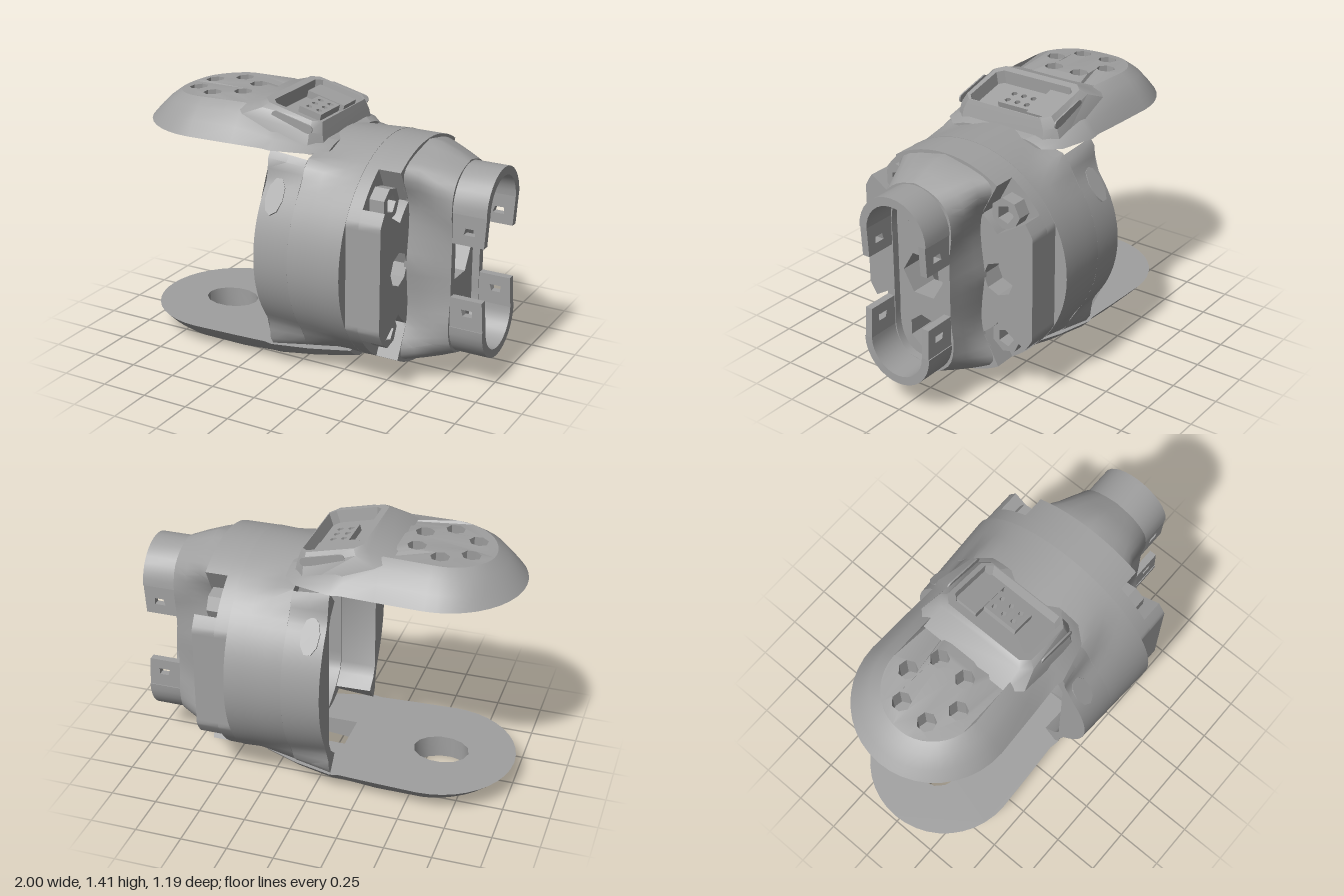
import * as THREE from 'three';
import { toCreasedNormals } from 'three/addons/utils/BufferGeometryUtils.js';

const CY = 0.675; // height of the barrel axis
const grey = new THREE.MeshStandardMaterial({ color: 0xa0a0a0, side: THREE.DoubleSide });
grey.name = 'grey';

const V = (x, y) => new THREE.Vector2(x, y);
const circle = (x, y, r, n = 8) => Array.from({ length: n }, (_, i) =>
  V(x + r * Math.cos((i / n) * 2 * Math.PI), y + r * Math.sin((i / n) * 2 * Math.PI)));
const rect = (x0, y0, x1, y1) => [V(x0, y0), V(x1, y0), V(x1, y1), V(x0, y1)];
function shapeOf(points, holes = []) {
  const s = new THREE.Shape(points);
  s.holes = holes.map((h) => new THREE.Path(h));
  return s;
}
function stadium(a, b, n = 10) { // upright slot: half width a, half height b
  const p = [];
  for (const k of [1, -1]) for (let i = 0; i <= n; i++) {
    const t = (i / n) * Math.PI;
    p.push(V(k * a * Math.cos(t), k * (b - a + a * Math.sin(t))));
  }
  return p;
}
function lerpTable(table, x) {
  for (let i = 1; i < table.length; i++) {
    const [x0, y0] = table[i - 1], [x1, y1] = table[i];
    if (x <= x1) return y0 + ((y1 - y0) * Math.max(0, x - x0)) / (x1 - x0);
  }
  return table[table.length - 1][1];
}
// Skin through closed rings of [x, y, z] points
function loft(rings) {
  const n = rings[0].length, idx = [];
  for (let r = 0; r < rings.length - 1; r++) for (let i = 0; i < n; i++) {
    const a = r * n + i, b = r * n + ((i + 1) % n);
    idx.push(a, b, a + n, b, b + n, a + n);
  }
  const g = new THREE.BufferGeometry();
  g.setAttribute('position', new THREE.Float32BufferAttribute(rings.flat(2), 3));
  g.setIndex(idx);
  return g;
}
function add(parent, name, geo, crease = 0.55) {
  const g = geo.index ? geo.toNonIndexed() : geo;
  g.deleteAttribute('uv');
  g.computeVertexNormals();
  const m = new THREE.Mesh(toCreasedNormals(g, crease), grey);
  m.name = name;
  parent.add(m);
  return m;
}
// Extrude a (z, y) shape along x, centred on the barrel axis
function alongX(shape, x0, x1, steps = 1) {
  const g = new THREE.ExtrudeGeometry(shape, { depth: x1 - x0, steps, bevelEnabled: false });
  return g.rotateY(Math.PI / 2).translate(x0, CY, 0);
}

// Domed tongue: flat on one side, sloping rim, plateau with holes on the other
function tongue(parent, name, flatY, dir, xEnd, heights, holes, through) {
  const h = (x) => lerpTable(heights, x);
  const outline = (s) => {
    const p = [];
    for (let i = 0; i <= 20; i++) {
      const t = Math.PI * (0.5 + i / 20);
      p.push(V(-0.58 + 0.42 * s * Math.cos(t), 0.42 * s * Math.sin(t)));
    }
    const side = [[-0.33, 0.41], [-0.15, 0.4], [-0.1, 0.41], [0.1, 0.36], [xEnd, 0.28]];
    side.forEach(([x, z]) => p.push(V(x, -z * s)));
    side.reverse().forEach(([x, z]) => p.push(V(x, z * s)));
    return p;
  };
  const group = new THREE.Group();
  group.name = name;
  parent.add(group);
  add(group, name + 'Rim', loft([[1, 0], [0.89, 0.42], [0.76, 0.78], [0.62, 1]].map(([s, k]) =>
    outline(s).map((p) => [p.x, flatY + dir * k * h(p.x), p.y]))), 0.7);
  const sheet = (pts, hs, yOf) => {
    const g = new THREE.ShapeGeometry(shapeOf(pts, hs)), a = g.attributes.position;
    for (let i = 0; i < a.count; i++) a.setXYZ(i, a.getX(i), yOf(a.getX(i)), a.getY(i));
    return g;
  };
  add(group, name + 'Plateau', sheet(outline(0.62), holes, (x) => flatY + dir * h(x)));
  add(group, name + 'Flat', sheet(outline(1), through ? holes : [], () => flatY));
  holes.forEach((pts) => add(group, name + 'HoleWall', loft([
    pts.map((p) => [p.x, flatY + dir * h(p.x), p.y]), pts.map((p) => [p.x, flatY, p.y])])));
}

// Barrel: two side walls around an open box, then a closed ring
function barrel(parent) {
  // Slightly smaller toward the open end, where the outside swells to meet the tongues
  const taper = (g) => {
    const a = g.attributes.position;
    for (let i = 0; i < a.count; i++) {
      const x = a.getX(i), y = a.getY(i) - CY, z = a.getZ(i);
      const q = (Math.atan2(Math.abs(y), Math.abs(z)) - 0.93) / 0.13;
      const swell = Math.hypot(y, z) > 0.59 ? 0.15 * Math.exp(-q * q) * Math.max(0, (0.3 - x) / 0.4) : 0;
      const k = 0.955 + 0.08 * (x + 0.1) + swell;
      a.setY(i, CY + y * k);
      a.setZ(i, z * k);
    }
    return g;
  };
  for (const k of [1, -1]) {
    const wall = [];
    for (let i = 0; i <= 30; i++) {
      const t = -0.94 + (i / 30) * 1.88;
      wall.push(V(k * 0.6 * Math.cos(t), 0.6 * Math.sin(t)));
    }
    [[0.335, 0.477], [0.4, 0.42], [0.43, 0.36], [0.43, -0.36], [0.4, -0.42], [0.335, -0.477]]
      .forEach(([z, y]) => wall.push(V(k * z, y)));
    add(parent, 'barrelSide', taper(alongX(shapeOf(wall), -0.1, 0.1, 2)));
  }
  const inner = circle(0, 0, 1, 72).map((p) =>
    p.multiplyScalar(Math.min(0.57, 0.42 / Math.abs(p.x), 0.545 / Math.abs(p.y))));
  add(parent, 'barrelRing', taper(alongX(shapeOf(circle(0, 0, 0.6, 72), [inner]), 0.1, 0.4, 3)));
}

// Disc with flattened sides and four optional corner notches
function endOutline(notched) {
  const p = [];
  for (let i = 0; i < 180; i++) {
    const t = (i / 180) * 2 * Math.PI, c = Math.cos(t), s = Math.sin(t);
    const q = Math.atan2(Math.abs(s), Math.abs(c));
    let r = Math.min(0.595, 0.525 / Math.abs(c));
    if (notched && q > 0.64 && q < 0.98) r = 0.4;
    p.push(V(r * c, r * s));
  }
  return p;
}

function neck(parent) {
  const ring = (x, quarter) => {
    const q = new THREE.SplineCurve(quarter.map(([z, y]) => V(z, y))).getPoints(14).map((v) => [v.x, v.y]);
    const r = [...q].reverse(), flip = (l, a, b) => l.map(([z, y]) => [a * z, b * y]);
    return [...q, ...flip(r.slice(1), -1, 1), ...flip(q.slice(1), -1, -1), ...flip(r.slice(1, -1), 1, -1)]
      .map(([z, y]) => [x, CY + y, z]);
  };
  const end = [[0.2, 0], [0.2, 0.17], [0.215, 0.305], [0.19, 0.42], [0.11, 0.49], [0, 0.52]];
  const bore = [[0.155, 0], [0.155, 0.17], [0.155, 0.305], [0.13, 0.39], [0.08, 0.445], [0, 0.465]];
  add(parent, 'neck', loft([
    ring(0.58, [[0.24, 0], [0.215, 0.2], [0.225, 0.33], [0.29, 0.47], [0.22, 0.54], [0, 0.59]]),
    ring(0.65, [[0.23, 0], [0.21, 0.2], [0.22, 0.33], [0.25, 0.46], [0.19, 0.53], [0, 0.588]]),
    ring(0.74, [[0.21, 0], [0.205, 0.19], [0.22, 0.32], [0.225, 0.43], [0.15, 0.51], [0, 0.555]]),
    ring(0.82, end), ring(0.82, bore), ring(0.56, bore)]), 0.7);
  add(parent, 'neckPlate', alongX(shapeOf(stadium(0.16, 0.47),
    [circle(0, 0, 0.125, 6), circle(0, 0.32, 0.095, 7), circle(0, -0.32, 0.095, 7)]), 0.62, 0.78));
  for (const k of [1, -1]) {
    // Rounded cap and the two windowed tabs beside the notch
    const arc = (r) => Array.from({ length: 17 }, (_, i) =>
      V(r * Math.cos((i / 16) * Math.PI), k * (0.305 + r * Math.sin((i / 16) * Math.PI))));
    add(parent, 'neckCap', alongX(shapeOf([...arc(0.205), ...arc(0.16).reverse()]), 0.82, 1));
    for (const z of [-0.2, 0.16]) {
      const y = k * 0.145, y2 = k * 0.305;
      const tab = shapeOf([V(0.82, y), V(0.99, y), V(1, y2), V(0.82, y2)],
        [[V(0.88, k * 0.2), V(0.94, k * 0.2), V(0.94, k * 0.235), V(0.89, k * 0.235)]]);
      add(parent, 'neckTab', new THREE.ExtrudeGeometry(tab, { depth: 0.04, bevelEnabled: false })
        .translate(0, CY, z));
    }
  }
}

// Tilted raised pad with a recessed connector
function pad(parent) {
  const g = new THREE.Group();
  g.name = 'connectorPad';
  g.position.set(-0.03, 1.375, 0);
  g.rotation.z = -0.24;
  parent.add(g);
  // Rectangle with cut corners from x0 to x1, half depth b, corner c
  const ring = (x0, x1, b, c, y0, y1) => [[x1, c - b, y1], [x1, b - c, y1], [x1 - c, b, y1], [x0 + c, b, y0],
    [x0, b - c, y0], [x0, c - b, y0], [x0 + c, -b, y0], [x1 - c, -b, y1]].map(([x, z, y]) => [x, y, z]);
  add(g, 'padFrame', loft([ring(-0.33, 0.21, 0.33, 0.07, -0.09, -0.15), ring(-0.22, 0.165, 0.3, 0.05, -0.025, -0.05),
    ring(-0.195, 0.14, 0.265, 0.04, 0, 0), ring(-0.155, 0.135, 0.24, 0.03, 0, 0),
    ring(-0.14, 0.125, 0.23, 0.03, -0.07, -0.07)]), 0.6);
  add(g, 'padFloor', new THREE.BoxGeometry(0.27, 0.01, 0.48).translate(0, -0.07, 0));
  add(g, 'padStep', new THREE.BoxGeometry(0.22, 0.04, 0.13).translate(-0.02, -0.045, -0.165));
  const pins = [];
  for (const x of [-0.03, 0.03]) for (const z of [-0.06, 0, 0.06]) pins.push(circle(x, z, 0.017, 6));
  add(g, 'connector', new THREE.ExtrudeGeometry(shapeOf(rect(-0.065, -0.1, 0.065, 0.1), pins),
    { depth: 0.035, bevelEnabled: false }).rotateX(-Math.PI / 2).translate(0, -0.065, 0));
  for (const k of [1, -1]) { // rounded side slots
    const slot = new THREE.ExtrudeGeometry(shapeOf(stadium(0.023, 0.12, 6)), { depth: 0.008, bevelEnabled: false });
    add(g, 'padSideSlot', slot.rotateZ(Math.PI / 2).translate(0.01, -0.035, k * 0.3 - 0.004));
  }
}

export function createModel() {
  const model = new THREE.Group();
  model.name = 'jointBracket';
  barrel(model);

  // End block: solid back layer, notched front layer
  add(model, 'endBlockBack', alongX(shapeOf(endOutline(false), [circle(0, 0, 0.13, 12)]), 0.39, 0.47));
  add(model, 'endBlockFront', alongX(shapeOf(endOutline(true),
    [stadium(0.16, 0.46), circle(0.32, 0, 0.09, 8), circle(-0.32, 0, 0.09, 8)]), 0.47, 0.59));
  for (const z of [-1, 1]) for (const y of [-1, 1]) {
    const boss = shapeOf(circle(0, 0, 0.085, 7), [circle(0, 0, 0.05, 5)]);
    add(model, 'screwBoss', alongX(boss, 0.47, 0.55)).position.set(0, y * 0.345, z * 0.335);
  }
  neck(model);

  // Upper tongue with a ring of six pockets, and the mount beneath it
  const pockets = Array.from({ length: 6 }, (_, i) => {
    const t = Math.PI / 6 + (i * Math.PI) / 3;
    return circle(-0.59 + 0.16 * Math.cos(t), 0.16 * Math.sin(t), 0.05, 7);
  });
  tongue(model, 'upperTongue', 1.21, 1, 0.17,
    [[-1, 0.11], [-0.9, 0.13], [-0.8, 0.155], [-0.6, 0.17], [-0.33, 0.175], [-0.15, 0.12], [0.1, 0.05], [0.17, 0.03]],
    pockets, false);
  add(model, 'mountRing', new THREE.CylinderGeometry(0.2, 0.2, 0.08, 12).translate(-0.59, 1.18, 0));
  add(model, 'mountBlock', new THREE.BoxGeometry(0.26, 0.07, 0.26).translate(-0.3, 1.185, 0));
  pad(model);

  // Lower tongue with an oval opening and a square one
  const oval = circle(-0.6, 0, 1, 14).map((p) => V(-0.6 + (p.x + 0.6) * 0.15, p.y * 0.12));
  tongue(model, 'lowerTongue', 0.14, -1, 0.3,
    [[-1, 0.095], [-0.8, 0.11], [-0.4, 0.135], [-0.15, 0.118], [0, 0.1], [0.15, 0.09], [0.3, 0.07]],
    [oval, rect(-0.09, -0.11, 0.08, 0.11)], true);

  // Long screw covers on the barrel shoulders
  for (const k of [1, -1]) {
    const m = add(model, 'shoulderScrew', new THREE.CylinderGeometry(1, 1, 0.01, 9).scale(0.05, 1, 0.1));
    m.position.set(-0.025, CY + 0.578 * Math.sin(0.6), k * 0.578 * Math.cos(0.6));
    m.rotation.x = k * (Math.PI / 2 - 0.6);
  }
  return model;
}
